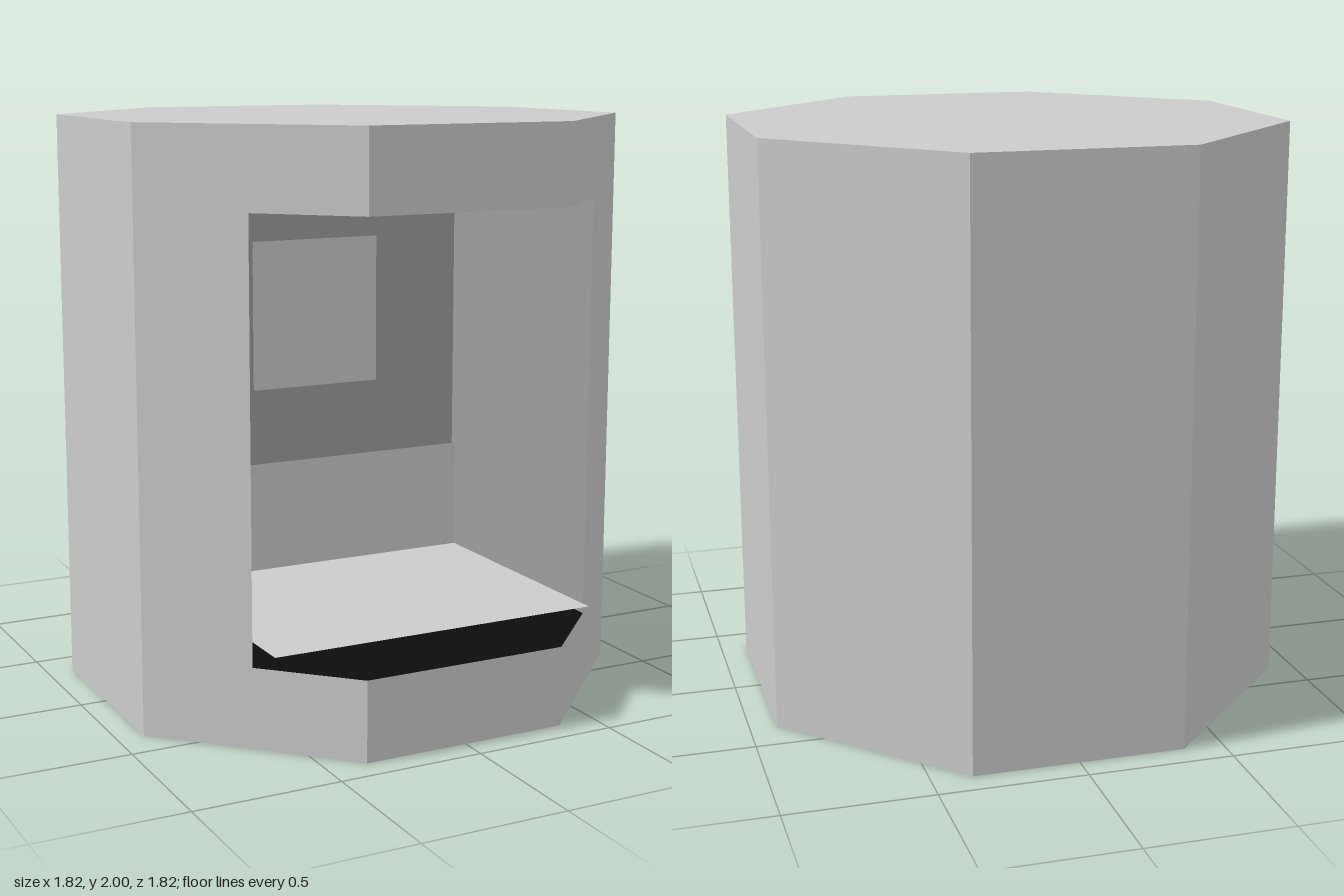
import * as THREE from 'three';

const A = 0.908, S = 0.363;      // octagon apothem and half side
const J = 0.635;                 // opening jamb (x and z)
const LOW = 0.275, HIGH = 1.73;  // opening sill and head
const BACK = -0.285;             // rear of the recess

const material = (color) => new THREE.MeshStandardMaterial({ color, side: THREE.DoubleSide, flatShading: true });

// Vertical sheet following a path of [x, z] points
function wall(path, y0, y1) {
  const pos = [];
  for (let i = 0; i < path.length - 1; i++) {
    const [ax, az] = path[i], [bx, bz] = path[i + 1];
    pos.push(ax, y0, az, bx, y0, bz, bx, y1, bz, ax, y0, az, bx, y1, bz, ax, y1, az);
  }
  const g = new THREE.BufferGeometry();
  g.setAttribute('position', new THREE.Float32BufferAttribute(pos, 3));
  g.computeVertexNormals();
  return g;
}

// Horizontal sheet with an outline of [x, z] points
function slab(outline, y) {
  const shape = new THREE.Shape(outline.map(([x, z]) => new THREE.Vector2(x, -z)));
  return new THREE.ShapeGeometry(shape).rotateX(-Math.PI / 2).translate(0, y, 0);
}

export function createModel() {
  const group = new THREE.Group();
  const grey = material(0xcccccc), dim = material(0x9d9d9d), black = material(0x0c0c0c);
  const add = (name, geometry, mat = grey) => {
    const mesh = new THREE.Mesh(geometry, mat);
    mesh.name = name;
    group.add(mesh);
  };

  // Octagonal shell, open underneath, with a wide front opening
  const around = [[J, J], [A, S], [A, -S], [S, -A], [-S, -A], [-A, -S], [-A, S], [-J, J]];
  const front = [[-J, J], [-S, A], [S, A], [J, J]];
  add('shellWall', wall(around, 0, 2));
  add('frontSkirt', wall(front, 0, LOW));
  add('frontHeader', wall(front, HIGH, 2));
  add('roof', slab([[S, A], [A, S], [A, -S], [S, -A], [-S, -A], [-A, -S], [-A, S], [-S, A]], 2));

  // Recess behind the opening
  add('recessWalls', wall([[-J, J], [-J, BACK], [J, BACK], [J, J]], LOW, HIGH), dim);
  add('recessCeiling', slab([...front, [J, BACK], [-J, BACK]], HIGH).scale(1, 1, 1), dim);
  add('recessFloor', slab([...front, [J, -0.36], [-J, -0.36]], LOW), black);

  // Thin panels inside the recess
  const w = 0.597, panelZ = -0.195;
  add('deckPanel', slab([[-w, 0.725], [w, 0.725], [w, panelZ], [-w, panelZ]], 0.33));
  add('lowerPanel', wall([[-w, panelZ], [w, panelZ]], 0.33, 0.73));
  add('screen', wall([[-0.25, panelZ], [0.25, panelZ]], 1.005, 1.545));

  return group;
}
